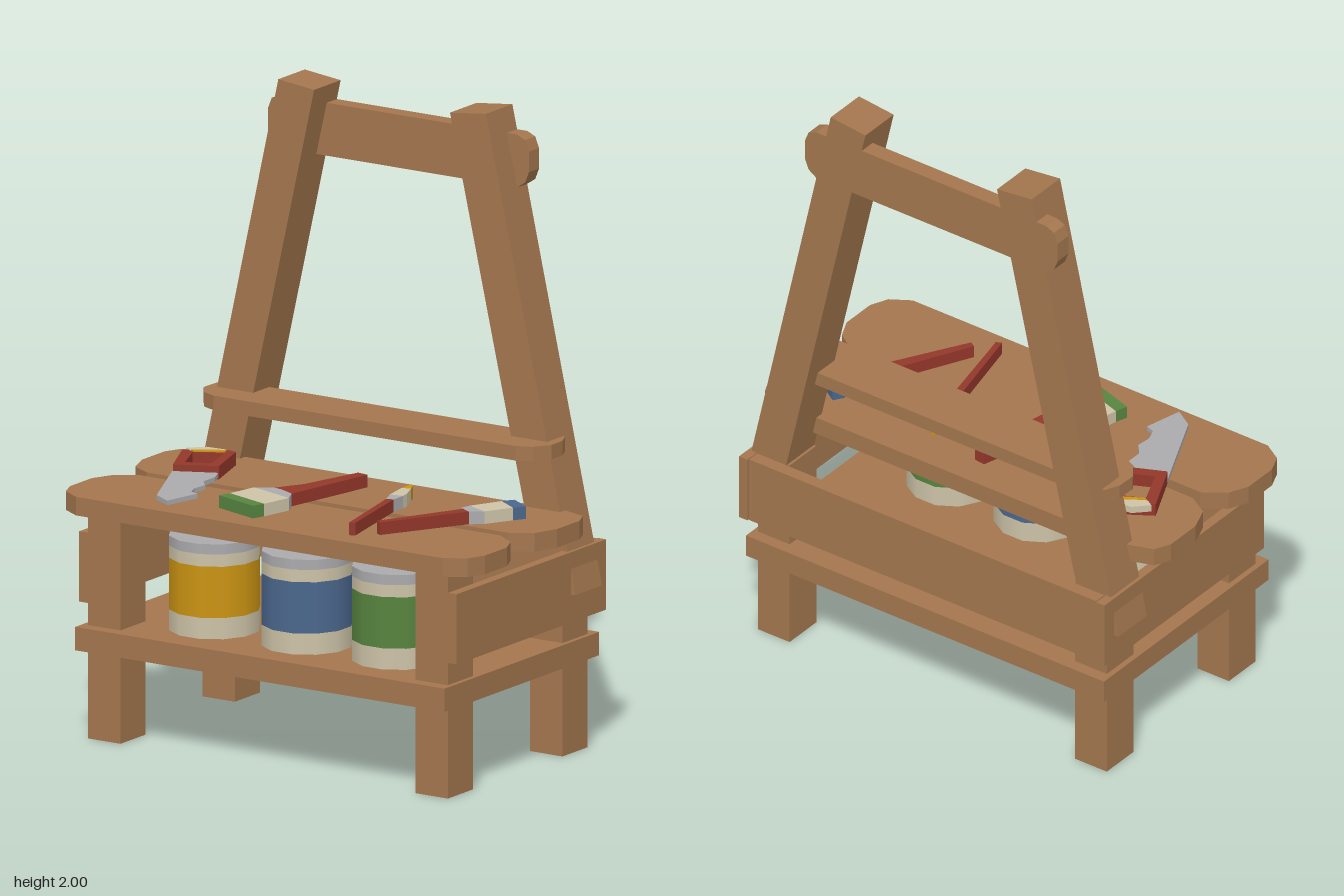
import * as THREE from 'three';

const mat = (name, color) => {
  const m = new THREE.MeshStandardMaterial({ color });
  m.name = name;
  return m;
};

export function createModel() {
  const root = new THREE.Group();
  root.name = 'workbench';
  const wood = mat('wood', 0xa3764e), red = mat('red paint', 0x93372a), cream = mat('cream', 0xcdc3a7);
  const steel = mat('steel', 0xababae), yellow = mat('yellow', 0xcb9412), blue = mat('blue', 0x4b678d);
  const green = mat('green', 0x57843f);

  const add = (name, geometry, material, parent = root) => {
    const m = new THREE.Mesh(geometry, material);
    m.name = name;
    parent.add(m);
    return m;
  };
  // box given by its extents on each axis
  const box = (name, [x0, x1], [y0, y1], [z0, z1], material = wood) => {
    const g = new THREE.BoxGeometry(x1 - x0, y1 - y0, z1 - z0);
    g.translate((x0 + x1) / 2, (y0 + y1) / 2, (z0 + z1) / 2);
    return add(name, g, material);
  };
  const outline = (pts) => pts.map(([x, y]) => new THREE.Vector2(x, y));
  // outline in x, y pushed from z0 to z1
  const panel = (name, pts, z0, z1) => {
    const g = new THREE.ExtrudeGeometry(new THREE.Shape(outline(pts)), { depth: z1 - z0, bevelEnabled: false });
    return add(name, g.translate(0, 0, z0), wood);
  };
  // outline in x, z raised from y0 to y1, with an optional hole
  const plate = (name, pts, y0, y1, material, parent = root, hole) => {
    const flip = (p) => outline(p.map(([x, z]) => [x, -z]));
    const s = new THREE.Shape(flip(pts));
    if (hole) s.holes.push(new THREE.Path(flip(hole)));
    const g = new THREE.ExtrudeGeometry(s, { depth: y1 - y0, bevelEnabled: false });
    return add(name, g.rotateX(-Math.PI / 2).translate(0, y0, 0), material, parent);
  };
  // completes a half outline (x > 0) by mirroring it
  const mirrored = (half) => [...half, ...half.map(([x, z]) => [-x, z]).reverse()];

  // legs, side boards and slanted uprights on both sides
  for (const s of [1, -1]) {
    const span = (a, b) => (s > 0 ? [a, b] : [-b, -a]);
    box('frontLeg', span(0.547, 0.668), [0, 0.72], [0.25, 0.388]);
    box('backLeg', span(0.547, 0.668), [0, 0.65], [-0.38, -0.242]);
    box('sideBoard', span(0.668, 0.7), [0.43, 0.653], [-0.435, 0.388]);
    panel('upright', [[0.385, 2], [0.252, 1.985], [0.59, 0.5], [0.718, 0.52]].map(([x, y]) => [x * s, y]), -0.386, -0.24);
  }

  // boards
  box('backBoard', [-0.665, 0.665], [0.43, 0.653], [-0.43, -0.388]);
  box('lowerShelf', [-0.687, 0.684], [0.286, 0.36], [-0.42, 0.43]);
  panel('topRail', mirrored([[0.44, 1.923], [0.47, 1.91], [0.484, 1.875], [0.484, 1.81], [0.47, 1.775], [0.44, 1.755]]), -0.386, -0.33);
  plate('frontPlank', mirrored([[0.67, 0.102], [0.74, 0.15], [0.77, 0.215], [0.77, 0.335], [0.745, 0.395], [0.68, 0.435]]),
    0.716, 0.775, wood);
  plate('rearPlank', mirrored([[0.66, -0.268], [0.745, -0.24], [0.77, -0.185], [0.77, -0.06], [0.74, 0.02], [0.67, 0.062]]),
    0.716, 0.775, wood);
  plate('upperShelf', mirrored([[0.62, -0.328], [0.643, -0.28], [0.645, -0.215], [0.61, -0.165], [0.56, -0.143]]),
    0.945, 0.991, wood);

  // paint cans: stacked bands
  [[-0.324, yellow], [0.02, blue], [0.355, green]].forEach(([x, paint]) => {
    const can = new THREE.Group();
    can.name = 'paintCan';
    can.position.set(x, 0, 0.201);
    root.add(can);
    [['canBase', 0.36, 0.427, cream], ['canLabel', 0.427, 0.59, paint], ['canTop', 0.59, 0.629, cream], ['canLid', 0.629, 0.661, steel]]
      .forEach(([name, y0, y1, m]) => {
        const g = new THREE.CylinderGeometry(0.143, 0.143, y1 - y0, 12, 1, name !== 'canLid');
        add(name, g.rotateY(Math.PI / 12).translate(0, (y0 + y1) / 2, 0), m, can);
      });
  });

  const tool = (name, parts) => {
    const g = new THREE.Group();
    g.name = name;
    root.add(g);
    parts.forEach(([n, m, pts, y0 = 0.775, y1 = 0.815, hole]) => plate(n, pts, y0, y1, m, g, hole));
  };

  // hand saw
  tool('saw', [
    ['sawBlade', steel, [[-0.565, 0.075], [-0.435, 0.015], [-0.41, 0.07], [-0.41, 0.135], [-0.38, 0.17], [-0.385, 0.22],
      [-0.37, 0.26], [-0.34, 0.27], [-0.37, 0.395], [-0.435, 0.355]], 0.784, 0.799],
    ['sawHandle', red, [[-0.64, -0.09], [-0.56, 0.08], [-0.43, 0.02], [-0.485, -0.155], [-0.52, -0.165]], 0.778, 0.82,
      [[-0.595, -0.08], [-0.545, 0.035], [-0.47, 0.0], [-0.505, -0.12]]],
    ['handleInlay', cream, [[-0.635, -0.105], [-0.61, -0.09], [-0.53, -0.13], [-0.52, -0.155], [-0.59, -0.15]], 0.8, 0.823],
    ['handleTrim', yellow, [[-0.607, -0.09], [-0.595, -0.085], [-0.51, -0.132], [-0.515, -0.15]], 0.8, 0.824],
  ]);

  // wide brush with green paint
  tool('wideBrush', [
    ['brushHandle', red, [[-0.042, -0.17], [-0.003, -0.165], [-0.065, 0.165], [-0.152, 0.13], [-0.1, 0.04]]],
    ['brushFerrule', steel, [[-0.155, 0.128], [-0.12, 0.135], [-0.065, 0.16], [-0.042, 0.21], [-0.205, 0.16]]],
    ['bristles', cream, [[-0.205, 0.16], [-0.042, 0.21], [-0.065, 0.312], [-0.226, 0.262]]],
    ['bristleTip', green, [[-0.226, 0.262], [-0.065, 0.312], [-0.079, 0.353], [-0.24, 0.302]]],
  ]);

  // thin brush with yellow paint
  tool('thinBrush', [
    ['brushHandle', red, [[0.212, 0.052], [0.235, 0.045], [0.3, 0.352], [0.282, 0.36]]],
    ['brushFerrule', steel, [[0.191, 0.0], [0.234, -0.008], [0.236, 0.046], [0.212, 0.053]]],
    ['bristles', cream, [[0.175, -0.088], [0.205, -0.095], [0.23, -0.035], [0.234, -0.008], [0.191, 0.0]]],
    ['bristleTip', yellow, [[0.173, -0.13], [0.188, -0.132], [0.205, -0.095], [0.175, -0.088]]],
  ]);

  // medium brush with blue paint
  tool('mediumBrush', [
    ['brushHandle', red, [[0.478, 0.018], [0.512, 0.04], [0.36, 0.305], [0.34, 0.293]]],
    ['brushFerrule', steel, [[0.472, -0.022], [0.55, 0.012], [0.513, 0.042], [0.465, 0.014]]],
    ['bristles', cream, [[0.522, -0.124], [0.597, -0.075], [0.55, 0.012], [0.472, -0.022]]],
    ['bristleTip', blue, [[0.522, -0.124], [0.545, -0.16], [0.62, -0.112], [0.597, -0.075]]],
  ]);

  return root;
}
